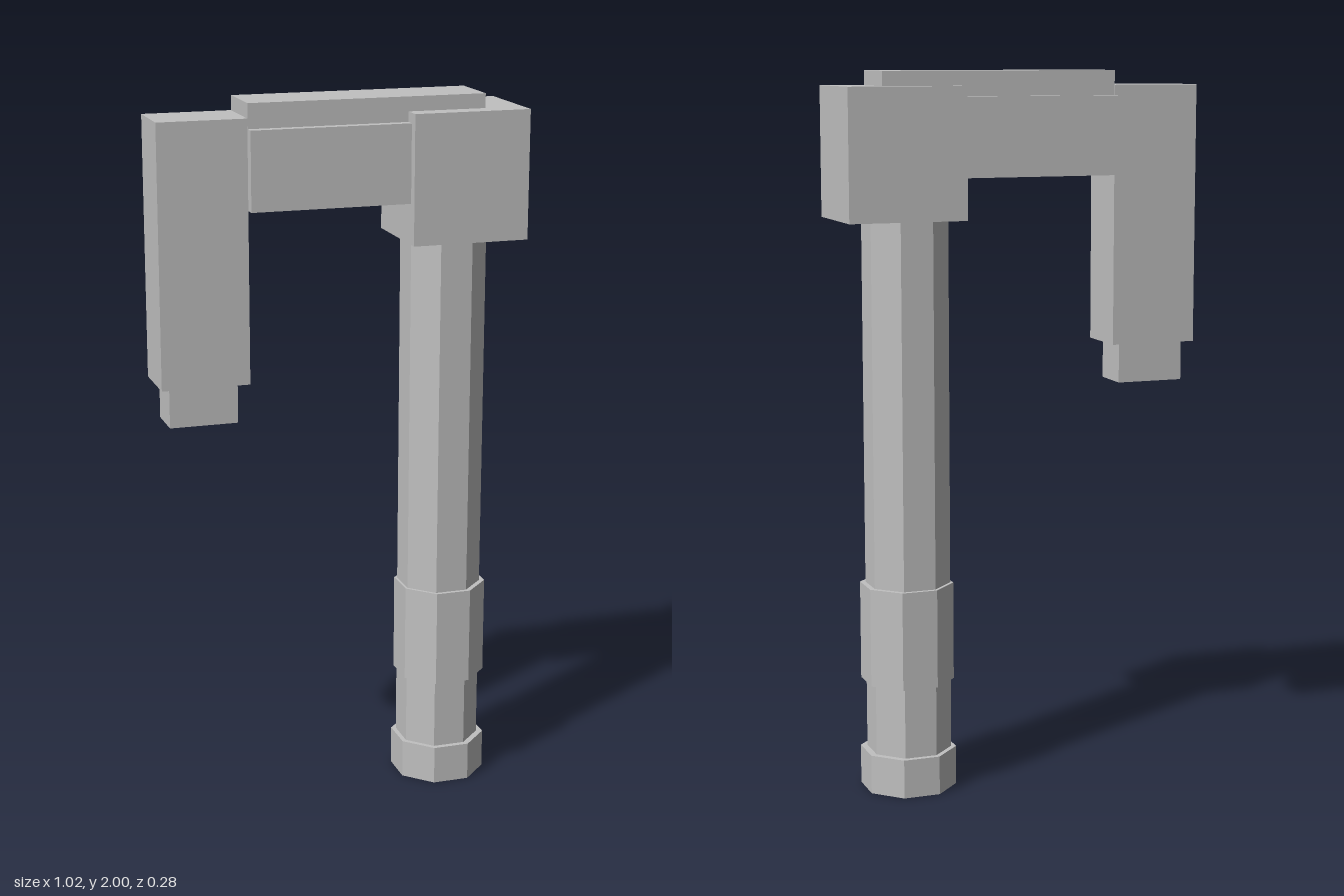
import * as THREE from 'three';

export function createModel() {
  const group = new THREE.Group();
  const grey = new THREE.MeshStandardMaterial({ color: 0xc0c0c0 });
  grey.name = 'plain grey';

  const add = (name, geometry, x, y, z) => {
    const mesh = new THREE.Mesh(geometry, grey);
    mesh.name = name;
    mesh.position.set(x, y, z);
    group.add(mesh);
  };

  // box given by its lower and upper corners
  const box = (name, [x0, y0, z0], [x1, y1, z1]) =>
    add(name, new THREE.BoxGeometry(x1 - x0, y1 - y0, z1 - z0),
      (x0 + x1) / 2, (y0 + y1) / 2, (z0 + z1) / 2);

  // upright octagonal prism with a flat side to the front
  const octagon = (name, apothem, y0, y1, x) => {
    const r = apothem / Math.cos(Math.PI / 8);
    const geometry = new THREE.CylinderGeometry(r, r, y1 - y0, 8, 1, false, Math.PI / 8)
      .toNonIndexed();
    geometry.computeVertexNormals();
    add(name, geometry, x, (y0 + y1) / 2, 0.002);
  };

  // handle
  octagon('pommel', 0.125, 0, 0.11, 0.316);
  octagon('gripBand', 0.121, 0.31, 0.587, 0.317);
  octagon('shaft', 0.11, 0.05, 1.65, 0.3135);

  // head
  box('headBlock', [0.18, 1.603, -0.14], [0.51, 1.96, 0.137]);
  box('bridge', [-0.266, 1.715, -0.113], [0.22, 1.932, 0.11]);
  box('topPlate', [-0.266, 1.9, -0.085], [0.4, 2, 0.083]);

  // hanging arm
  box('arm', [-0.513, 1.24, -0.085], [-0.267, 1.96, 0.083]);
  box('armTip', [-0.487, 1.128, -0.06], [-0.296, 1.26, 0.058]);

  return group;
}
